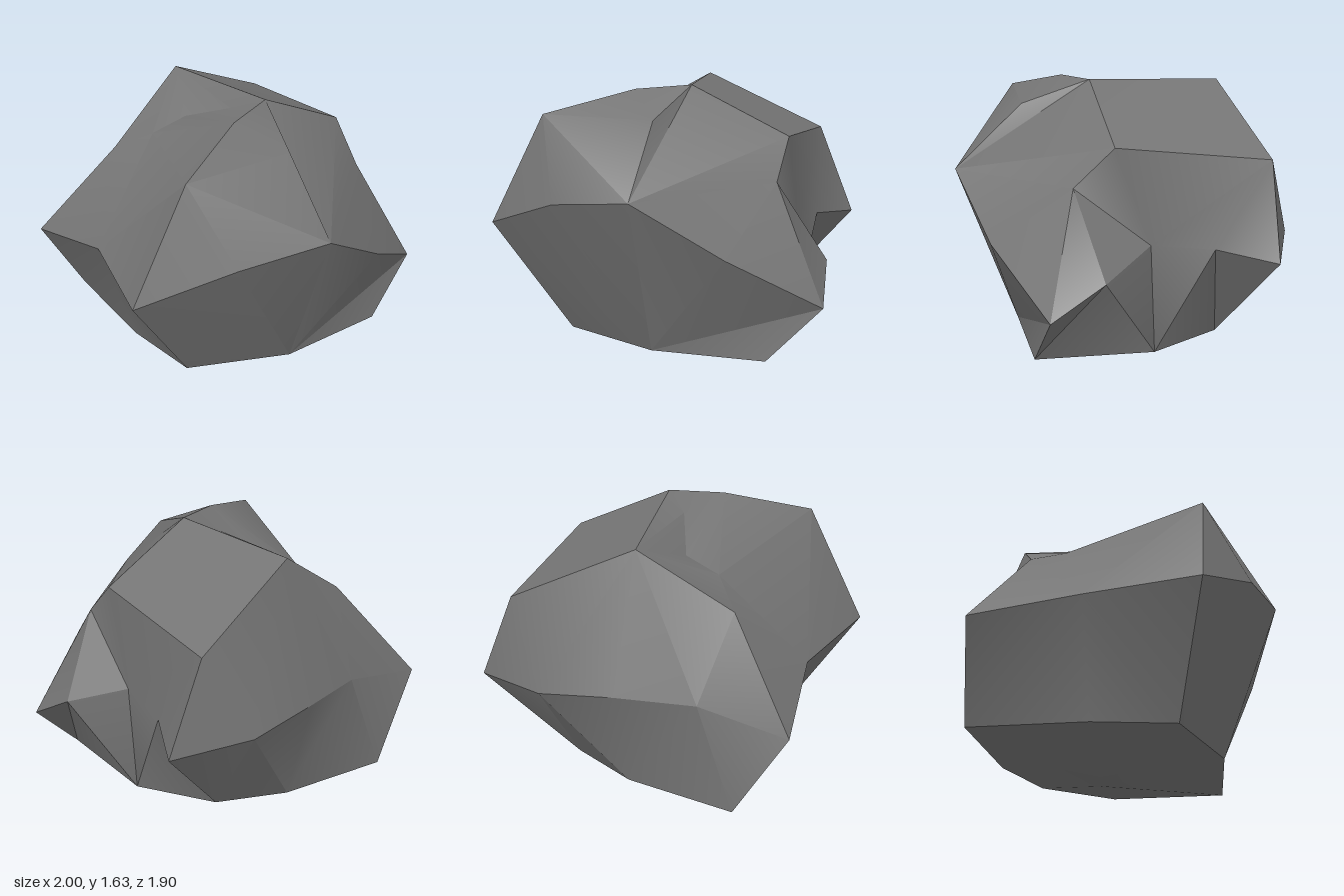
import * as THREE from 'three';
import { toCreasedNormals } from 'three/addons/utils/BufferGeometryUtils.js';

// Corner points, from the underside up to the crown
const base = {
  z: [0.02, 0, -0.12],
  L: [0.69, 0.14, 0.56], f: [0.02, 0.14, 0.6], K: [-0.57, 0.14, 0.38], n: [-0.65, 0.14, -0.1],
  O: [-0.65, 0.14, -0.79], b: [0.02, 0.14, -0.72], Q: [0.42, 0.14, -0.55], r: [0.69, 0.14, -0.13],
};
const waist = {
  A: [0.02, 1.1, 0.95], J: [0.51, 0.78, 0.78], F: [1, 0.47, 0.5], S: [0.95, 0.66, 0.19],
  T: [0.71, 0.79, -0.1], U: [0.75, 0.76, -0.46], P: [0.91, 0.71, -0.79], M: [0.46, 0.76, -0.95],
  N: [0.02, 0.81, -0.91], m: [-0.42, 0.77, -0.76], X: [-0.95, 0.67, -0.74],
  Y: [-0.86, 0.81, -0.12], H: [-1, 0.81, 0.55], I: [-0.49, 1.02, 0.81],
};
const crown = {
  G: [-0.65, 1.48, 0.55], B: [0.02, 1.48, 0.55], Z: [-0.18, 1.61, 0.29], C: [0.12, 1.63, 0.16],
  D: [0.69, 1.35, 0.1], E: [0.68, 1.13, 0.33], R: [0.69, 1.25, -0.79], V: [-0.01, 1.59, -0.63],
  W: [-0.53, 1.24, -0.48], i: [-0.03, 1.56, 0.02], j: [-0.16, 1.43, -0.27], k: [-0.37, 1.36, -0.3],
};

// Each facet is a triangle fan: its hub, then its rim counter-clockwise
const facets = [
  'zLfKnObQrL',          // underside
  'fLFJAIHK',            // front
  'GHIAB',               // upper front, right
  'AJEDCB', 'EJFS',      // upper front, left
  'ZGBCijkG', 'VWkjiCDR', // top
  'YHGkWXOnKH',          // hollow right side
  'mNbOXWVN', 'MPQbNVRP', // back
  'TSrURDES', 'UrQPR', 'SFLr', // hollow left side
];

function buildRock() {
  const points = { ...base, ...waist, ...crown };
  const positions = [];
  for (const facet of facets) {
    const [hub, ...rim] = facet;
    for (let s = 0; s < rim.length - 1; s++) {
      positions.push(...points[hub], ...points[rim[s]], ...points[rim[s + 1]]);
    }
  }
  const geometry = new THREE.BufferGeometry();
  geometry.setAttribute('position', new THREE.Float32BufferAttribute(positions, 3));
  geometry.computeVertexNormals();
  // Soft within a facet, sharp along the ridges
  return toCreasedNormals(geometry, THREE.MathUtils.degToRad(30));
}

export function createModel() {
  const group = new THREE.Group();
  group.name = 'rock';
  const stone = new THREE.MeshStandardMaterial({ color: 0x747474 });
  stone.name = 'grey stone';
  const boulder = new THREE.Mesh(buildRock(), stone);
  boulder.name = 'boulder';
  group.add(boulder);
  return group;
}
